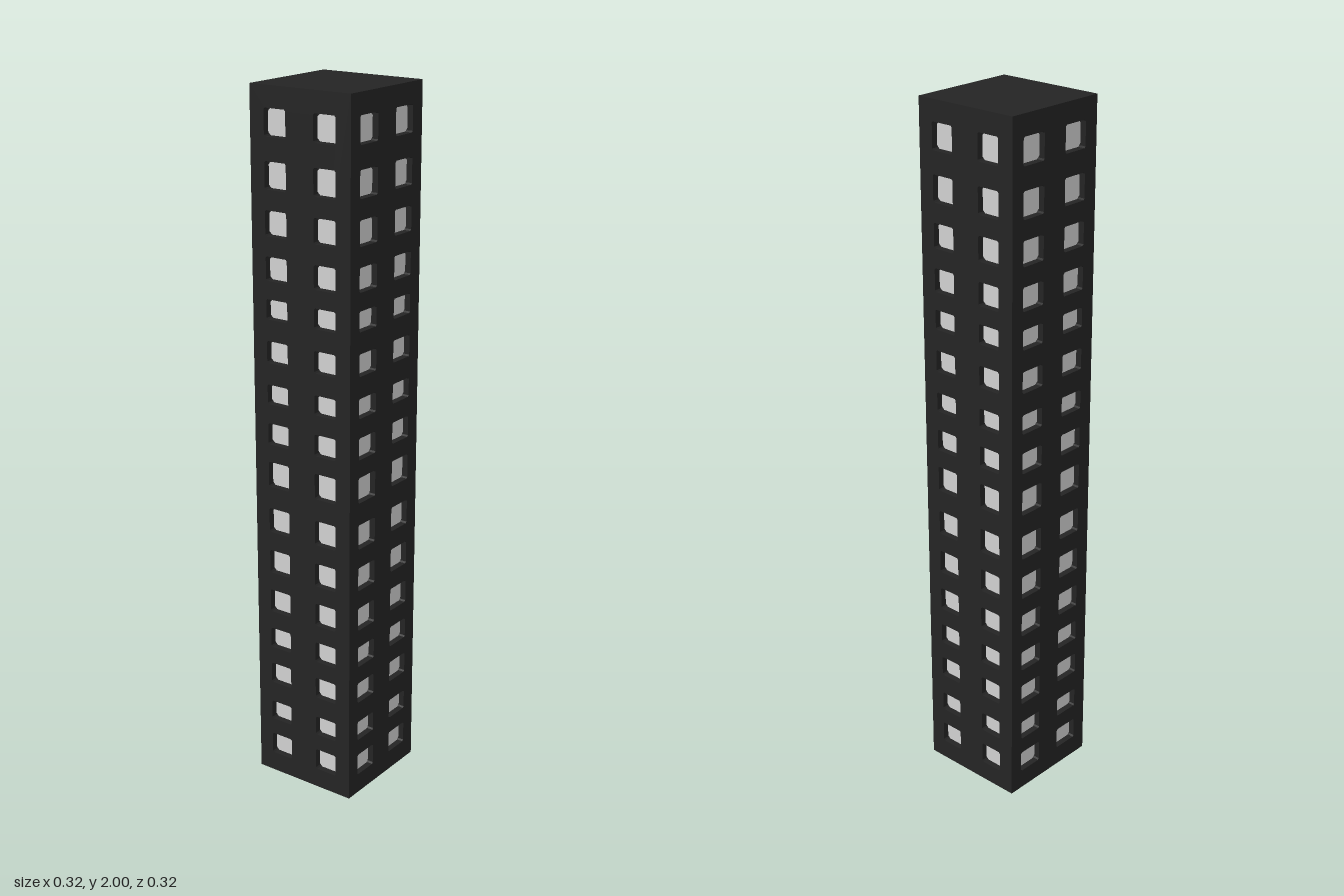
import * as THREE from 'three';

export function createModel() {
  const wallMat = new THREE.MeshStandardMaterial({ color: 0x242424 });
  wallMat.name = 'dark cladding';
  const paneMat = new THREE.MeshStandardMaterial({ color: 0xd0d0d0 });
  paneMat.name = 'pale window';

  const HALF = 0.16, HEIGHT = 2, DEPTH = 0.02, PANE = 0.004, GAP = 0.004;
  // Window rows: centre height, pane height
  const rows = [
    [0.09, 0.06], [0.2, 0.054], [0.322, 0.058], [0.435, 0.057],
    [0.552, 0.064], [0.674, 0.065], [0.8, 0.068], [0.937, 0.07],
    [1.056, 0.058], [1.17, 0.052], [1.29, 0.058], [1.409, 0.052],
    [1.52, 0.062], [1.642, 0.065], [1.768, 0.07], [1.905, 0.07],
  ];

  // Rectangle outline with cut corners
  function outline(path, cx, cy, w, h, c) {
    const x = w / 2, y = h / 2;
    const pts = [[-x + c, -y], [x - c, -y], [x, -y + c], [x, y - c],
      [x - c, y], [-x + c, y], [-x, y - c], [-x, -y + c]];
    path.setFromPoints(pts.map(([a, b]) => new THREE.Vector2(cx + a, cy + b)));
    path.closePath();
    return path;
  }

  // One facade: perforated cladding with panes set back in the openings
  function facade(name, halfWidth, paneWidth) {
    const group = new THREE.Group();
    group.name = name;
    const wall = new THREE.Shape();
    wall.moveTo(-halfWidth, 0).lineTo(halfWidth, 0).lineTo(halfWidth, HEIGHT).lineTo(-halfWidth, HEIGHT).closePath();
    const panes = [];
    for (const [y, h] of rows) {
      for (const x of [-0.08, 0.078]) {
        wall.holes.push(outline(new THREE.Path(), x, y, paneWidth + GAP, h + GAP, 0.004));
        panes.push(outline(new THREE.Shape(), x, y, paneWidth, h, 0.008));
      }
    }
    const cladding = new THREE.Mesh(
      new THREE.ExtrudeGeometry(wall, { depth: DEPTH, bevelEnabled: false }), wallMat);
    cladding.name = 'cladding';
    const windows = new THREE.Mesh(
      new THREE.ExtrudeGeometry(panes, { depth: PANE, bevelEnabled: false }), paneMat);
    windows.name = 'windows';
    for (const m of [cladding, windows]) m.position.z = HALF - DEPTH;
    group.add(cladding, windows);
    return group;
  }

  const tower = new THREE.Group();
  tower.name = 'tower';

  // Solid core behind the cladding
  const inner = 2 * (HALF - DEPTH);
  const core = new THREE.Mesh(new THREE.BoxGeometry(inner, HEIGHT, inner), wallMat);
  core.name = 'core';
  core.position.y = HEIGHT / 2;
  tower.add(core);

  // Front and back overlap the ends of the side walls
  ['frontFacade', 'leftFacade', 'backFacade', 'rightFacade'].forEach((name, i) => {
    const side = i % 2 === 1;
    const f = facade(name, side ? HALF - DEPTH : HALF, side ? 0.074 : 0.066);
    f.rotation.y = i * Math.PI / 2;
    tower.add(f);
  });

  return tower;
}
